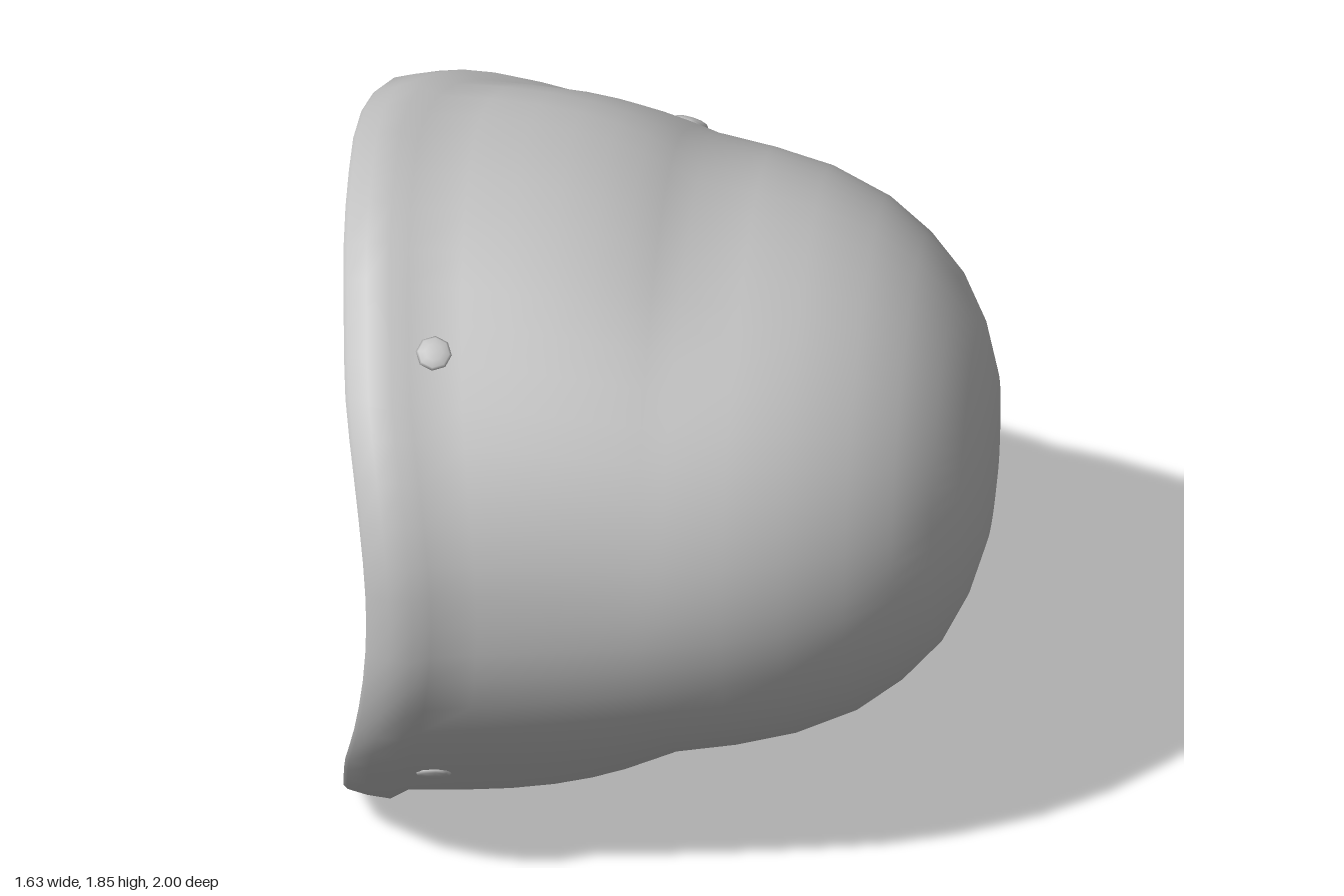
import * as THREE from 'three';
import { toCreasedNormals } from 'three/addons/utils/BufferGeometryUtils.js';

const SEG = 56;
const MID_Y = 0.925;

// Half of the rim line as [x, height from the mid plane, z], front to back
const RIM = [
  [-0.69, 0, 0.995], [-0.70, 0.18, 0.98], [-0.73, 0.38, 0.90], [-0.765, 0.55, 0.77],
  [-0.785, 0.70, 0.61], [-0.80, 0.825, 0.46], [-0.81, 0.91, 0.22], [-0.805, 0.925, -0.05],
  [-0.75, 0.905, -0.24], [-0.62, 0.825, -0.385], [-0.40, 0.705, -0.5], [-0.32, 0.56, -0.68],
  [-0.28, 0.37, -0.89], [-0.26, 0.18, -0.98], [-0.25, 0, -1.0],
];

// Dome sections from crown down: [x, half height, front depth, back depth]
const DOME = [
  [0.815, 0.001, 0.001, 0.001], [0.813, 0.09, 0.10, 0.10], [0.80, 0.21, 0.25, 0.25],
  [0.76, 0.34, 0.40, 0.38], [0.70, 0.455, 0.53, 0.49], [0.61, 0.55, 0.635, 0.60],
  [0.50, 0.63, 0.725, 0.695], [0.35, 0.69, 0.805, 0.785], [0.2, 0.722, 0.86, 0.84],
  [0.05, 0.745, 0.89, 0.88],
];

// Raised edge band: [offset in x, scale of the rim outline]
const LIP = [[0.165, 0.973], [0.12, 1], [0.06, 0.993], [0.01, 0.98], [0, 0.97]];

function rimLoop() {
  const mirrored = RIM.slice(1, -1).reverse().map(([x, y, z]) => [x, -y, z]);
  const points = [...RIM, ...mirrored].map((p) => new THREE.Vector3(...p));
  const curve = new THREE.CatmullRomCurve3(points, true, 'centripetal');
  return Array.from({ length: SEG }, (_, i) => curve.getPoint(i / SEG));
}

// Skin between successive closed rings
function loft(rings, crease) {
  const positions = [];
  const index = [];
  rings.forEach((ring) => ring.forEach((p) => positions.push(p.x, p.y + MID_Y, p.z)));
  for (let r = 0; r < rings.length - 1; r++) {
    for (let i = 0; i < SEG; i++) {
      const a = r * SEG + i;
      const b = r * SEG + ((i + 1) % SEG);
      index.push(a, b, a + SEG, b, b + SEG, a + SEG);
    }
  }
  const geometry = new THREE.BufferGeometry();
  geometry.setAttribute('position', new THREE.Float32BufferAttribute(positions, 3));
  geometry.setIndex(index);
  return toCreasedNormals(geometry, crease);
}

export function createModel() {
  const group = new THREE.Group();
  const grey = new THREE.MeshStandardMaterial({ color: 0xc0c0c0 });
  grey.name = 'plain grey';

  const rim = rimLoop();
  const angles = rim.map((p) => Math.atan2(p.y / 0.925, p.z));
  const section = ([x, h, front, back]) => angles.map((a) => {
    const depth = Math.cos(a) > 0 ? front : back;
    return new THREE.Vector3(x, Math.sin(a) * h, Math.cos(a) * depth);
  });
  const lip = LIP.map(([dx, s]) => rim.map((p) => new THREE.Vector3(p.x + dx, p.y * s, p.z * s)));

  // Outer dome, bulging over the sides and running straight at front and back
  const dome = DOME.map(section);
  const base = dome[dome.length - 1];
  const flare = [0.1, 0.2, 0.32, 0.46, 0.62, 0.8].map((t) => base.map((p, i) => {
    const edge = lip[0][i];
    const side = Math.sin(angles[i]) ** 2;
    const f = THREE.MathUtils.lerp(t, 1 - (1 - t) ** 3, side);
    return new THREE.Vector3(
      THREE.MathUtils.lerp(p.x, edge.x, t),
      THREE.MathUtils.lerp(p.y, edge.y, f),
      THREE.MathUtils.lerp(p.z, edge.z, f),
    );
  }));
  const shell = new THREE.Mesh(loft([...dome, ...flare, ...lip], 1.1), grey);
  shell.name = 'outerShell';

  // Straight inner wall narrowing to a flat eight-sided ceiling
  const mouth = lip[lip.length - 1];
  const ceiling = section([-0.02, 0.4, 0.66, 0.42]).map((p, i) => {
    const step = Math.PI / 4;
    const off = angles[i] - Math.round(angles[i] / step) * step;
    const s = Math.cos(step / 2) / Math.cos(off);
    return new THREE.Vector3(p.x, p.y * s, p.z * s);
  });
  const wall = [0, 0.33, 0.67, 1].map((t) => mouth.map((p, i) => p.clone().lerp(ceiling[i], t)));
  const centre = section([-0.02, 0.001, 0.001, 0.001]);
  const lining = new THREE.Mesh(loft([...wall, centre], 0.5), grey);
  lining.name = 'lining';
  group.add(shell, lining);

  // Rivets seated on the shell: [x, height direction, z direction]
  const rivetGeometry = new THREE.SphereGeometry(0.046, 8, 6);
  rivetGeometry.scale(1, 0.3, 1);
  const up = new THREE.Vector3(0, 1, 0);
  const ray = new THREE.Raycaster();
  const rivets = [
    [-0.55, 0.635, 0.665], [-0.55, -0.635, 0.665],
    [-0.02, 0.605, -0.58], [-0.02, -0.605, -0.58], [0.05, 0, -1],
  ];
  for (const [x, y, z] of rivets) {
    const out = new THREE.Vector3(0, y, z).normalize();
    const start = new THREE.Vector3(x, MID_Y, 0).addScaledVector(out, 3);
    ray.set(start, out.clone().negate());
    const hit = ray.intersectObject(shell)[0];
    if (!hit) continue;
    const rivet = new THREE.Mesh(rivetGeometry, grey);
    rivet.name = 'rivet';
    rivet.position.copy(hit.point);
    rivet.quaternion.setFromUnitVectors(up, hit.face.normal);
    group.add(rivet);
  }
  return group;
}
